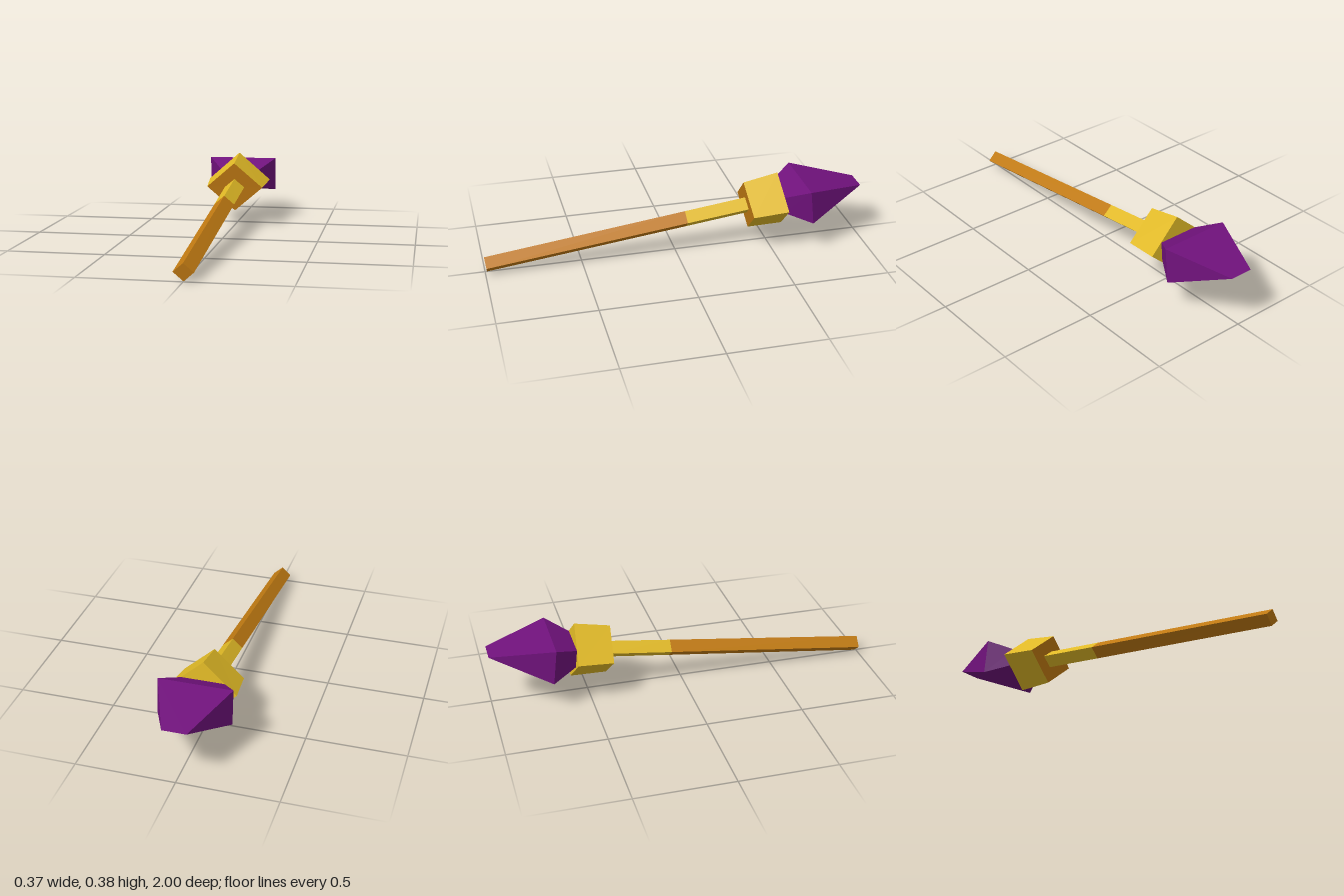
import * as THREE from 'three';

const flat = (name, color) => {
  const m = new THREE.MeshStandardMaterial({ color, flatShading: true });
  m.name = name;
  return m;
};

// Joins four-cornered rings, listed front to back and counter-clockwise from the front.
// Material groups: 0 = sides and back cap, 1 = front cap.
function loft(name, rings, materials) {
  const pos = [];
  const tri = (a, b, c) => {
    const area = new THREE.Triangle(a, b, c).getArea();
    if (area > 1e-7) for (const p of [a, b, c]) pos.push(p.x, p.y, p.z);
  };
  const quad = (a, b, c, d) => { tri(a, b, c); tri(a, c, d); };
  for (let r = 0; r < rings.length - 1; r++) {
    const f = rings[r], k = rings[r + 1];
    for (let i = 0; i < 4; i++) {
      const j = (i + 1) % 4;
      quad(f[i], k[i], k[j], f[j]);
    }
  }
  quad(...[...rings[rings.length - 1]].reverse());
  const sideCount = pos.length / 3;
  quad(...rings[0]);

  const g = new THREE.BufferGeometry();
  g.setAttribute('position', new THREE.Float32BufferAttribute(pos, 3));
  g.addGroup(0, sideCount, 0);
  g.addGroup(sideCount, pos.length / 3 - sideCount, 1);
  g.computeVertexNormals();
  const mesh = new THREE.Mesh(g, materials);
  mesh.name = name;
  return mesh;
}

const v = (x, y, z) => new THREE.Vector3(x, y, z);

// Diamond ring: half width, then [y, z] of the top, side and bottom corners
const diamond = (w, top, side, bottom) =>
  [v(w, ...side), v(0, ...top), v(-w, ...side), v(0, ...bottom)];

// Rectangular ring: half width, then [y, z] of the top and bottom edges
const rect = (w, top, bottom) =>
  [v(w, ...bottom), v(w, ...top), v(-w, ...top), v(-w, ...bottom)];

export function createModel() {
  const gold = flat('gold', 0xe0b926);
  const brown = flat('brown', 0xbf7912);
  const purple = flat('purple', 0x70127c);
  const model = new THREE.Group();
  model.name = 'spear';

  // Shaft: brown grip, then a gold neck running into the collar
  const butt = diamond(0.049, [0.087, 1], [0.045, 0.995], [0.002, 0.99]);
  const joint = diamond(0.052, [0.22, -0.055], [0.175, -0.058], [0.13, -0.06]);
  const neckEnd = diamond(0.054, [0.262, -0.385], [0.217, -0.395], [0.172, -0.4]);
  model.add(loft('grip', [butt, joint], [brown, brown]));
  model.add(loft('neck', [joint, neckEnd], [gold, gold]));

  // Collar, flaring towards the tip, with a brown front face
  model.add(loft('collar', [
    diamond(0.154, [0.35, -0.37], [0.216, -0.386], [0.083, -0.4]),
    diamond(0.171, [0.387, -0.554], [0.236, -0.57], [0.087, -0.586]),
  ], [gold, brown]));

  // Crystal tip, tapering to a short horizontal edge
  model.add(loft('tip', [
    rect(0.105, [0.287, -0.56], [0.198, -0.568]),
    rect(0.187, [0.343, -0.68], [0.162, -0.7]),
    rect(0.06, [0.29, -1], [0.29, -1]),
  ], [purple, purple]));

  return model;
}
